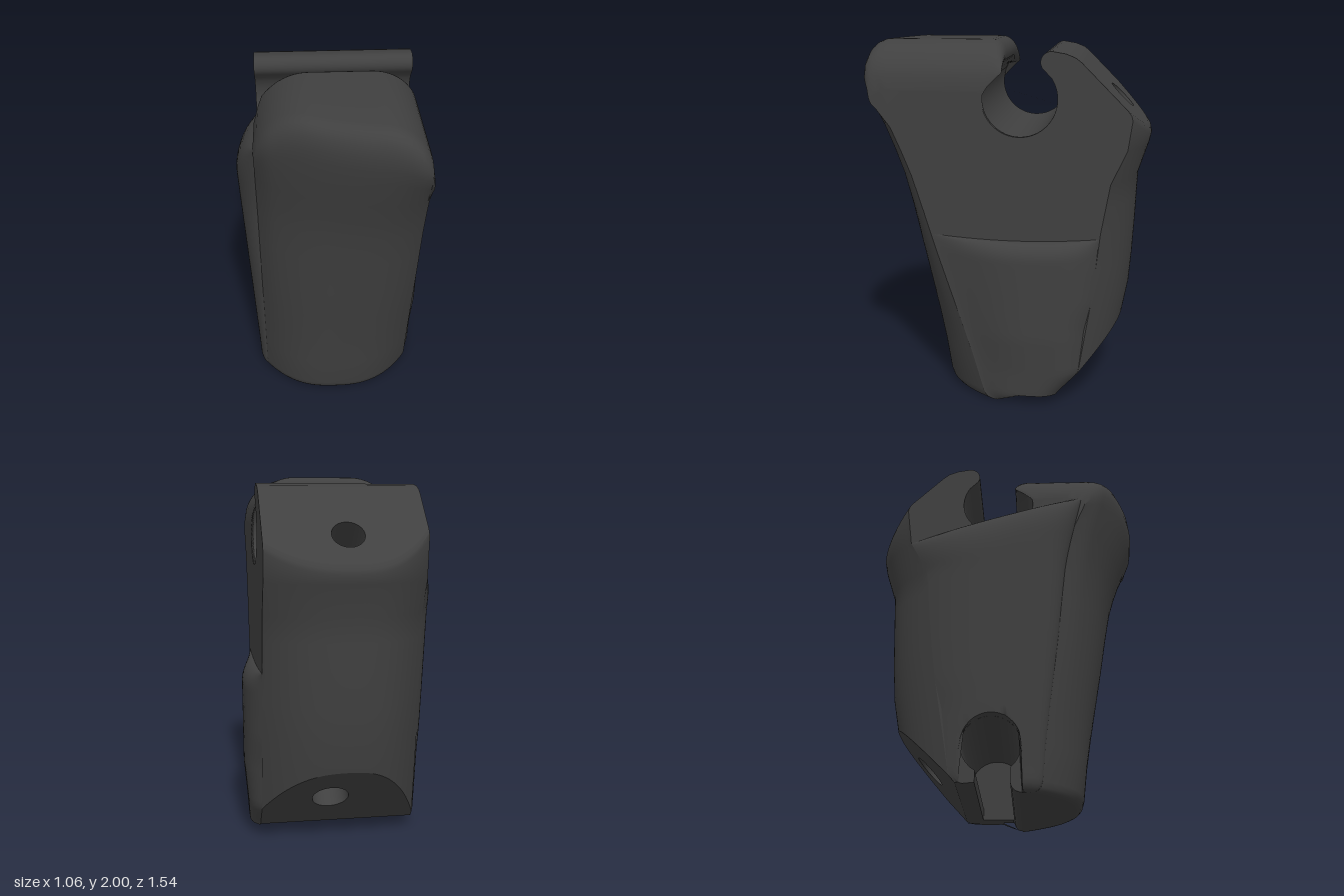
import * as THREE from 'three';
import { mergeGeometries, toCreasedNormals } from 'three/addons/utils/BufferGeometryUtils.js';

const LEFT = 0.45, RIGHT = -0.42;      // flat side walls
const SEAT = { z: -0.07, y: 1.71, r: 0.2 };       // upper hinge seat
const CHANNEL = { z: -0.1, y: 0.25, r: 0.155 };   // lower pin channel
const { lerp, clamp, degToRad, radToDeg } = THREE.MathUtils;

// Linear lookup in a table of [y, value] pairs with rising y
function look(table, y) {
  let i = 1;
  while (i < table.length - 1 && y > table[i][0]) i++;
  const [a, b] = [table[i - 1], table[i]];
  return lerp(a[1], b[1], clamp((y - a[0]) / (b[0] - a[0]), 0, 1));
}

// Front and back outlines by height
const FRONT = [[0, 0.32], [0.003, 0.345], [0.012, 0.365], [0.028, 0.38], [0.06, 0.391], [0.25, 0.42], [0.44, 0.455],
  [0.65, 0.497], [0.87, 0.54], [1.1, 0.58], [1.29, 0.615], [1.42, 0.65], [1.55, 0.69], [1.71, 0.74], [1.8, 0.76],
  [1.87, 0.77], [1.93, 0.763], [1.965, 0.747], [1.985, 0.725], [1.997, 0.695], [2, 0.66]];
const BACK = [[0, -0.6], [0.45, -0.635], [0.6, -0.665], [0.8, -0.68], [1, -0.69], [1.27, -0.7], [1.45, -0.757], [1.53, -0.768]];
// How far the back falls away towards each wall
const BACK_LEFT = [[0, 0.22], [0.95, 0.19], [1.25, 0.15], [1.53, 0.11]];
const BACK_RIGHT = [[0, 0.36], [1.27, 0.28], [1.53, 0.21]];

// Front face: evenly rounded at the foot, swept to one side at the top
function frontZ(x, y) {
  const low = 0.3 * Math.abs(x / 0.47) ** 2.6;
  const high = 0.3 * Math.max(0, (0.37 - x) / 0.8) ** 2 + 6 * Math.max(0, x - 0.37, -0.33 - x) ** 2;
  return look(FRONT, y) - lerp(low, high, clamp(y / 1.8, 0, 1));
}
function backZ(x, y) {
  return look(BACK, y) + look(x > 0 ? BACK_LEFT : BACK_RIGHT, y) * Math.abs(x / 0.45) ** 2.6;
}

// Two sloping planes, y as a function of z
const upperSlope = { m: 1, y: z => 1.9 + (z + 0.39) };
const lowerSlope = { m: -1.086, y: z => 0.06 - 1.086 * (z + 0.28) };

// Rounded shoulders of the front block
function topY(x) {
  const round = (u, h) => h * (1 - Math.sqrt(1 - clamp(u, 0, 1) ** 2));
  return 2 - round((x - 0.2) / 0.25, 0.25) - round((-0.13 - x) / 0.3, 0.34);
}

function arc(cz, cy, r, from, to, n) {
  return Array.from({ length: n + 1 }, (_, i) => {
    const a = degToRad(lerp(from, to, i / n));
    return [cz + r * Math.cos(a), cy + r * Math.sin(a)];
  });
}

// Side profile [z, y] at a given x, running up the front and down the back
function section(x, channelOpen) {
  // front face, its top pressed down towards the sides by the shoulders
  const top = topY(x), press = (top - 1.6) / 0.4;
  const p = FRONT.map(([y]) => [frontZ(x, y), y > 1.6 ? 1.6 + (y - 1.6) * press : y]);
  // front lip, cut back along the seat where the shoulders are low
  const start = Math.min(35, radToDeg(Math.asin(clamp((top - 0.03 - SEAT.y) / SEAT.r, -1, 1))));
  const seatTop = SEAT.y + SEAT.r * Math.sin(degToRad(start));
  const lip = arc(0.1, 1.925, 0.075, 90, 230, 10);
  p.push(...lip.map(([z, y]) => [lerp(z, 0.145, (35 - start) / 35), lerp(seatTop, top, (y - 1.825) / 0.175)]));
  // round hinge seat and rear lip
  p.push(...arc(SEAT.z, SEAT.y, SEAT.r, start, -214, 34));
  p.push(...arc(-0.235, 1.9, 0.055, -50, 95, 8), [-0.31, 1.943], [-0.36, 1.923]);

  // upper slope with a rounded lower rim, then down the back
  const upper = p.length;
  const zu = backZ(x, 1.53) + 0.025;
  p.push([-0.39, 1.9], [zu, upperSlope.y(zu)], [zu - 0.018, upperSlope.y(zu) - 0.025], [zu - 0.024, upperSlope.y(zu) - 0.05]);
  for (const y of [1.45, 1.27, 1.14, 1, 0.8, 0.62]) p.push([backZ(x, y), y]);

  let y = 0.45;
  for (let i = 0; i < 6; i++) y = lowerSlope.y(backZ(x, y));
  const lower = p.length;
  const zl = backZ(x, y);
  p.push([zl, lowerSlope.y(zl)], [-0.28, 0.06], [-0.24, 0.05], [-0.18, 0.055]);
  // pin channel in the underside, then the rounded front lip below it
  const channel = arc(CHANNEL.z, CHANNEL.y, CHANNEL.r, 240, -50, 24);
  p.push(...channel.map((c, i) => (channelOpen ? c : [lerp(-0.17, -0.005, i / 24), 0.055])));
  p.push([0, 0.05], [0.008, 0.028], [0.025, 0.012], [0.05, 0.003]);
  return { x, p, upper, lower };
}

function indexed(points, index) {
  const g = new THREE.BufferGeometry();
  g.setAttribute('position', new THREE.Float32BufferAttribute(points.flat(), 3));
  g.setIndex(index);
  return g;
}

// Skin over rows of equally many points; skip leaves out strips
function skin(rows, flip = false, skip = []) {
  const n = rows[0].length, index = [];
  for (let j = 0; j < rows.length - 1; j++) {
    for (let i = 0; i < n - 1; i++) {
      if (skip.includes(i)) continue;
      const a = j * n + i, b = a + n, c = b + 1, d = a + 1;
      index.push(...(flip ? [a, c, b, a, d, c] : [a, b, c, a, c, d]));
    }
  }
  return indexed(rows.flat(), index);
}

// Flat side wall
function wall({ x, p }, flip) {
  const tris = THREE.ShapeUtils.triangulateShape(p.map(([z, y]) => new THREE.Vector2(z, y)), []);
  return indexed(p.map(([z, y]) => [x, y, z]), tris.flatMap(([a, b, c]) => (flip ? [a, c, b] : [a, b, c])));
}

// Sloping face with a round hole, drawn in plan and lifted onto its plane
function slopeFace(edge, z0, plane, hole, flip) {
  const shape = new THREE.Shape([[RIGHT, z0], [LEFT, z0], ...edge.slice().reverse()].map(q => new THREE.Vector2(...q)));
  const rim = new THREE.Path();
  rim.absellipse(hole.x, hole.z, hole.r, hole.r / Math.hypot(1, plane.m), 0, Math.PI * 2);
  shape.holes.push(rim);
  const g = new THREE.ShapeGeometry(shape, 24);
  const pos = g.attributes.position, pts = [];
  for (let i = 0; i < pos.count; i++) pts.push([pos.getX(i), plane.y(pos.getY(i)), pos.getY(i)]);
  const index = Array.from(g.index.array);
  return indexed(pts, flip ? index.reverse() : index);
}

// Blind bore below a hole; only its inside shows
function bore(name, plane, hole, inward, color) {
  const depth = 0.3;
  const mesh = new THREE.Mesh(new THREE.CylinderGeometry(hole.r, hole.r, depth, 48),
    new THREE.MeshStandardMaterial({ color, side: THREE.BackSide }));
  const n = new THREE.Vector3(0, 1, -plane.m).normalize();
  mesh.rotation.x = Math.atan2(-plane.m, 1);
  mesh.position.set(hole.x, plane.y(hole.z), hole.z).addScaledVector(n, inward * depth / 2);
  mesh.name = name;
  return mesh;
}

// Rounded swelling on a side wall, ending above in a ledge; skew moves its crest backwards
function swell(x, sign, { ledge, bulge, fade, skew, channel }) {
  const cols = 64, rows = 40, grid = [];
  const round = d => Math.sqrt(1 - (1 - clamp(d, 0, 1)) ** 2);
  for (let j = 0; j <= cols; j++) {
    const t = (1 - Math.cos(Math.PI * j / cols)) / 2, top = ledge(t), col = [];
    for (let i = 0; i <= rows; i++) {
      const y = top * (1 - Math.cos(Math.PI * i / rows)) / 2;
      const rear = Math.max(backZ(x, y), -0.28 - Math.max(0, y - 0.06) / 1.086);
      const z = lerp(frontZ(x, y), rear, t);
      const out = bulge(y) * (1 - Math.abs(2 * t ** skew - 1) ** 3) * round(y / 0.06) * round((top - y) / fade);
      // keep above the underside and clear of the channel mouth
      let floor = 0.055 * clamp((0.05 - z) / 0.12, 0, 1);
      const dz = z - CHANNEL.z;
      if (channel && Math.abs(dz) < CHANNEL.r) floor = CHANNEL.y + Math.sqrt(CHANNEL.r ** 2 - dz ** 2);
      col.push([x + sign * out, Math.max(y, floor), z]);
    }
    grid.push(col);
  }
  return skin(grid, sign < 0);
}

export function createModel() {
  const group = new THREE.Group();
  group.name = 'hingedSegment';
  const color = 0x404040;
  const material = new THREE.MeshStandardMaterial({ color });
  const add = (name, geometry, crease) => {
    const mesh = new THREE.Mesh(toCreasedNormals(geometry, crease), material);
    mesh.name = name;
    group.add(mesh);
  };

  // Body: side profiles across the width; the channel stops short of the left wall
  const sections = [];
  for (let i = 0; i <= 36; i++) sections.push(section(lerp(RIGHT, 0.38, i / 36), true));
  for (let i = 0; i <= 6; i++) sections.push(section(lerp(0.38, LEFT, i / 6), false));
  const { upper, lower } = sections[0];
  const rows = sections.map(({ x, p }) => [...p, p[0]].map(([z, y]) => [x, y, z]));
  const edge = i => sections.filter((s, j) => j !== 37).map(s => [s.x, s.p[i][0]]);
  add('body', mergeGeometries([
    skin(rows, false, [upper, lower]),
    wall(sections[0], false),
    wall(sections[sections.length - 1], true),
  ]), 0.52);

  // Flat sloping faces with screw holes
  const upperHole = { x: 0.01, z: -0.6, r: 0.087 }, lowerHole = { x: 0.08, z: -0.465, r: 0.1 };
  add('upperSlopeFace', slopeFace(edge(upper + 1), -0.39, upperSlope, upperHole, true), 0.3);
  add('lowerSlopeFace', slopeFace(edge(lower), -0.28, lowerSlope, lowerHole, false), 0.3);
  group.add(bore('upperScrewHole', upperSlope, upperHole, -1, color));
  group.add(bore('lowerScrewHole', lowerSlope, lowerHole, 1, color));

  // Side swellings
  add('leftSideSwell', swell(LEFT, 1, {
    ledge: t => 0.97 - 0.1 * t * (1 - t), bulge: y => 0.045 + 0.035 * Math.min(1, y / 0.4), fade: 0.1, skew: 1.5, channel: false,
  }), 0.9);
  add('rightSideSwell', swell(RIGHT, -1, {
    ledge: t => lerp(1.74, 1.45, t), bulge: y => 0.04 + 0.05 * y, fade: 0.24, skew: 0.75, channel: true,
  }), 0.9);
  return group;
}
